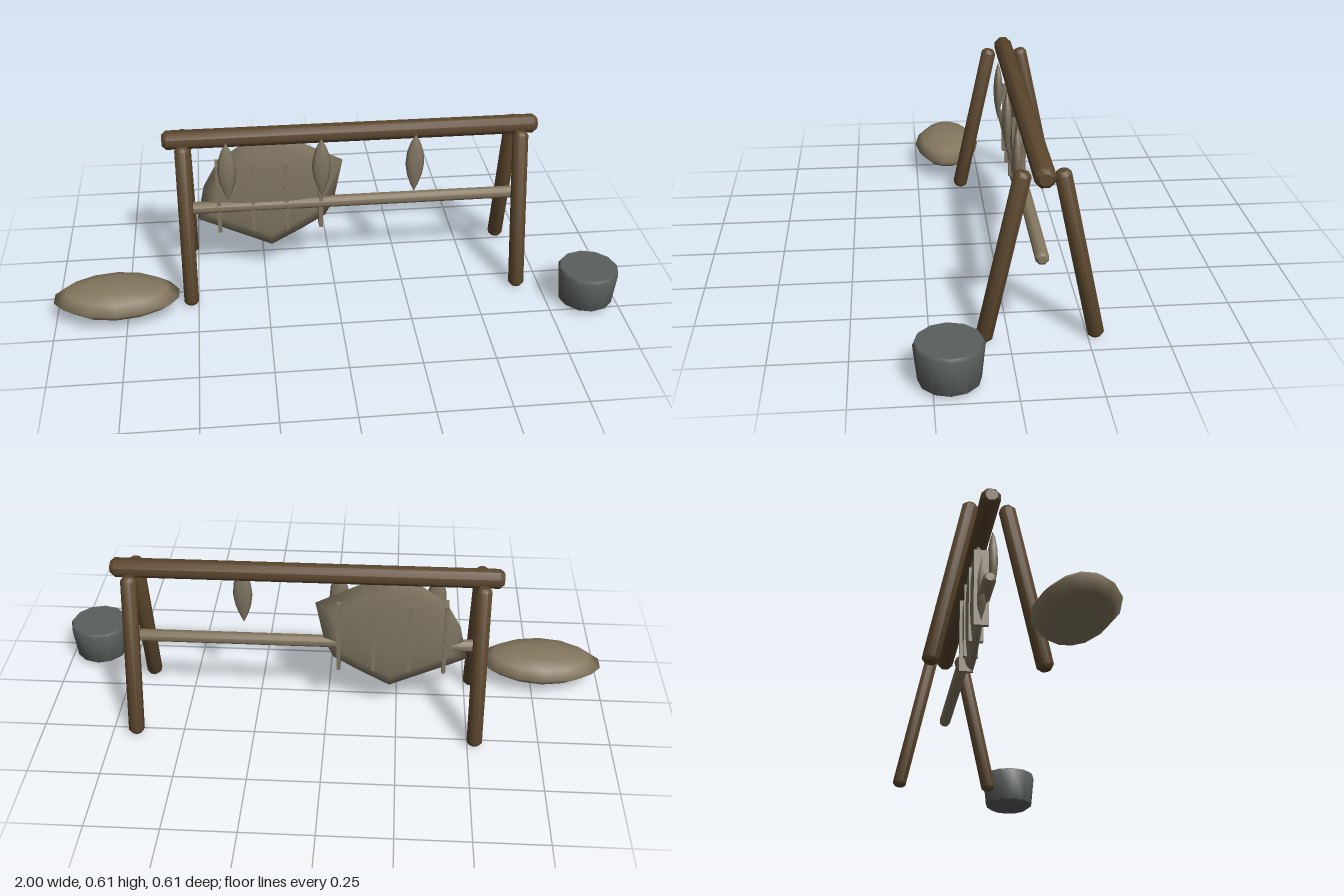
import * as THREE from 'three';
import { mergeVertices, toCreasedNormals } from 'three/addons/utils/BufferGeometryUtils.js';

const mat = (name, color) => {
  const m = new THREE.MeshStandardMaterial({ color });
  m.name = name;
  return m;
};

export function createModel() {
  const wood = mat('dark wood', 0x5c472d);
  const hide = mat('hide', 0x7f7561);
  const pale = mat('pale wood', 0x84775f);
  const iron = mat('iron', 0x5a5f5e);

  const model = new THREE.Group();
  model.name = 'dryingRack';

  const add = (name, geometry, material, x = 0, y = 0, z = 0, parent = model) => {
    const mesh = new THREE.Mesh(geometry, material);
    mesh.name = name;
    mesh.position.set(x, y, z);
    parent.add(mesh);
    return mesh;
  };

  const lathe = (points, sides, crease) => {
    const g = new THREE.LatheGeometry(points.map(([r, y]) => new THREE.Vector2(r, y)), sides);
    return crease ? toCreasedNormals(g, crease) : g;
  };

  // Eight-sided pole with chamfered ends, running between two points
  const pole = (name, from, to, r, material) => {
    const a = new THREE.Vector3(...from), b = new THREE.Vector3(...to);
    const h = a.distanceTo(b) / 2, c = r * 0.45;
    const g = lathe([[0, -h], [r * 0.62, -h], [r, -h + c], [r, h - c], [r * 0.62, h], [0, h]], 8, 0.8);
    g.rotateY(Math.PI / 8);
    const mesh = add(name, g, material);
    mesh.position.copy(a).add(b).multiplyScalar(0.5);
    mesh.quaternion.setFromUnitVectors(new THREE.Vector3(0, 1, 0), b.sub(a).normalize());
    return mesh;
  };

  // Bulging sheet: an outline shrunk in steps towards its centre on both faces
  const lens = (outline, cx, cy, thick) => {
    const half = [[0, 1], [0.45, 0.92], [0.8, 0.6]];
    const rings = [...half, [1, 0], ...half.map(([s, t]) => [s, -t]).reverse()];
    const n = outline.length, pos = [], idx = [];
    for (const [s, t] of rings)
      for (const [x, y] of outline) pos.push((x - cx) * s, (y - cy) * s, t * thick);
    for (let k = 0; k < rings.length - 1; k++)
      for (let i = 0; i < n; i++) {
        const j = (i + 1) % n, a = k * n + i, b = a + n, c = (k + 1) * n + j, d = k * n + j;
        if (k < rings.length - 2) idx.push(a, b, c);
        else idx.push(a, b, d);
        if (k > 0 && k < rings.length - 2) idx.push(a, c, d);
      }
    let g = new THREE.BufferGeometry();
    g.setAttribute('position', new THREE.Float32BufferAttribute(pos, 3));
    g.setIndex(idx);
    g = mergeVertices(g);
    g.computeVertexNormals();
    return g;
  };

  // Frame: ridge beam, four splayed legs and the lower rail
  const midZ = -0.098;
  pole('ridgeBeam', [-0.595, 0.579, midZ], [0.737, 0.579, midZ], 0.034, wood);
  for (const [side, x] of [['right', -0.525], ['left', 0.665]])
    for (const [end, s] of [['Front', 1], ['Back', -1]])
      pole(side + end + 'Leg', [x, 0.006, midZ + s * 0.18], [x, 0.579, midZ + s * 0.058], 0.028, wood);
  pole('lowerRail', [-0.557, 0.3, -0.097], [0.702, 0.3, -0.097], 0.022, pale);

  // Stretched hide with its four upright battens
  const hideOutline = [
    [0.04, 0.465], [-0.12, 0.548], [-0.22, 0.562], [-0.32, 0.545], [-0.405, 0.485], [-0.46, 0.385],
    [-0.49, 0.25], [-0.36, 0.188], [-0.222, 0.123], [-0.11, 0.185], [-0.022, 0.24], [0.01, 0.31],
  ];
  add('stretchedHide', lens(hideOutline, -0.225, 0.35, 0.021), hide, -0.225, 0.35, -0.105);
  for (let i = 0; i < 4; i++)
    add('batten', new THREE.BoxGeometry(0.014, 0.276, 0.05), hide, -0.41 + i * 0.123, 0.338, -0.105);

  // Strips of food hanging in front of the beam
  const strip = lathe([[0, -0.115], [0.4, -0.085], [0.8, -0.045], [1, 0.0], [0.88, 0.045], [0.5, 0.085], [0, 0.115]]
    .map(([r, y]) => [r * 0.034, y]), 8);
  strip.scale(1, 1, 0.52);
  for (let i = 0; i < 3; i++) add('hangingStrip', strip, hide, -0.375 + i * 0.335, 0.46, -0.061);

  // Bundle lying beside the rack
  const bundleOutline = [
    [0.218, 0.02], [0.185, 0.07], [0.1, 0.115], [0, 0.131], [-0.1, 0.115], [-0.18, 0.075], [-0.218, 0.03],
    [-0.218, -0.025], [-0.18, -0.07], [-0.1, -0.115], [0, -0.131], [0.1, -0.115], [0.185, -0.075], [0.218, -0.03],
  ];
  const bundle = lens(bundleOutline, 0, 0, 0.051);
  bundle.rotateX(-Math.PI / 2);
  add('bundle', bundle, pale, -0.782, 0.086, 0.121);

  // Pot on the other side
  const pot = lathe([[0, 0.007], [0.078, 0.007], [0.096, 0.02], [0.108, 0.138], [0.102, 0.149], [0, 0.151]], 12, 0.9);
  add('pot', pot, iron, 0.89, 0, 0.199);

  return model;
}
